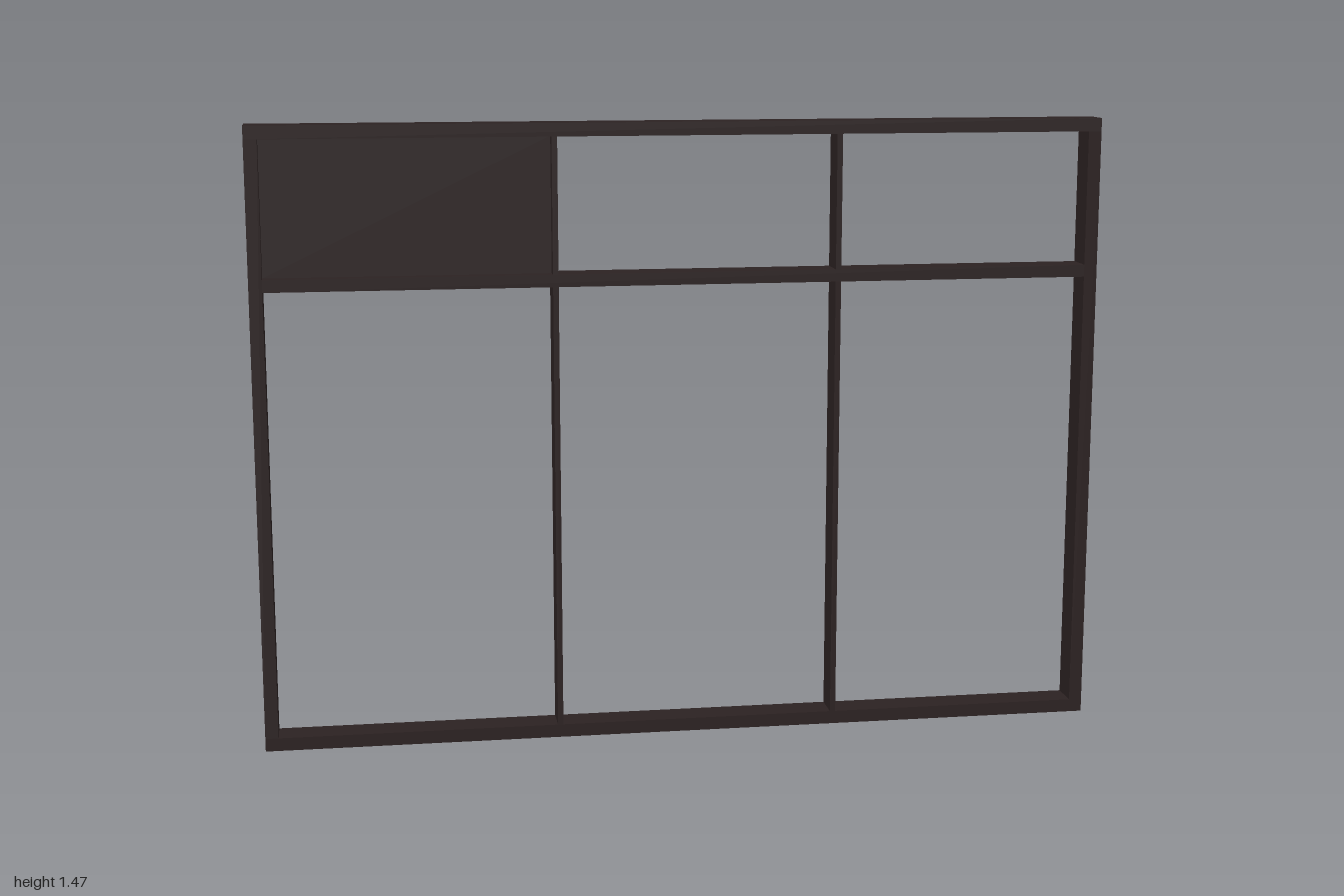
import * as THREE from 'three';

const W = 2, H = 1.466, D = 0.074; // overall size
const T = 0.031;                   // outer frame bar width
const M = 0.013;                   // slim mullion width
const T0 = 1.089, T1 = 1.118;      // transom bottom and top
const MULLIONS = [-0.301, 0.367];

export function createModel() {
  const group = new THREE.Group();
  group.name = 'windowFrame';
  const brown = new THREE.MeshStandardMaterial({ color: 0x2c2222 });
  brown.name = 'dark brown';

  // Box given by its x and y extents, centred in depth
  const bar = (name, x0, x1, y0, y1, depth = D) => {
    const mesh = new THREE.Mesh(new THREE.BoxGeometry(x1 - x0, y1 - y0, depth), brown);
    mesh.position.set((x0 + x1) / 2, (y0 + y1) / 2, 0);
    mesh.name = name;
    group.add(mesh);
  };

  // Outer frame
  const inner = W / 2 - T;
  bar('bottomRail', -W / 2, W / 2, 0, T);
  bar('topRail', -W / 2, W / 2, H - T, H);
  bar('rightJamb', -W / 2, -inner, T, H - T);
  bar('leftJamb', inner, W / 2, T, H - T);

  // Transom and the mullions above and below it
  bar('transom', -inner, inner, T0, T1);
  for (const x of MULLIONS) {
    bar('lowerMullion', x - M / 2, x + M / 2, T, T0);
    bar('upperMullion', x - M / 2, x + M / 2, T1, H - T);
  }

  // Solid infill panel in the upper corner, recessed on both sides
  bar('infillPanel', -inner, MULLIONS[0] - M / 2, T1, H - T, 0.012);

  return group;
}
